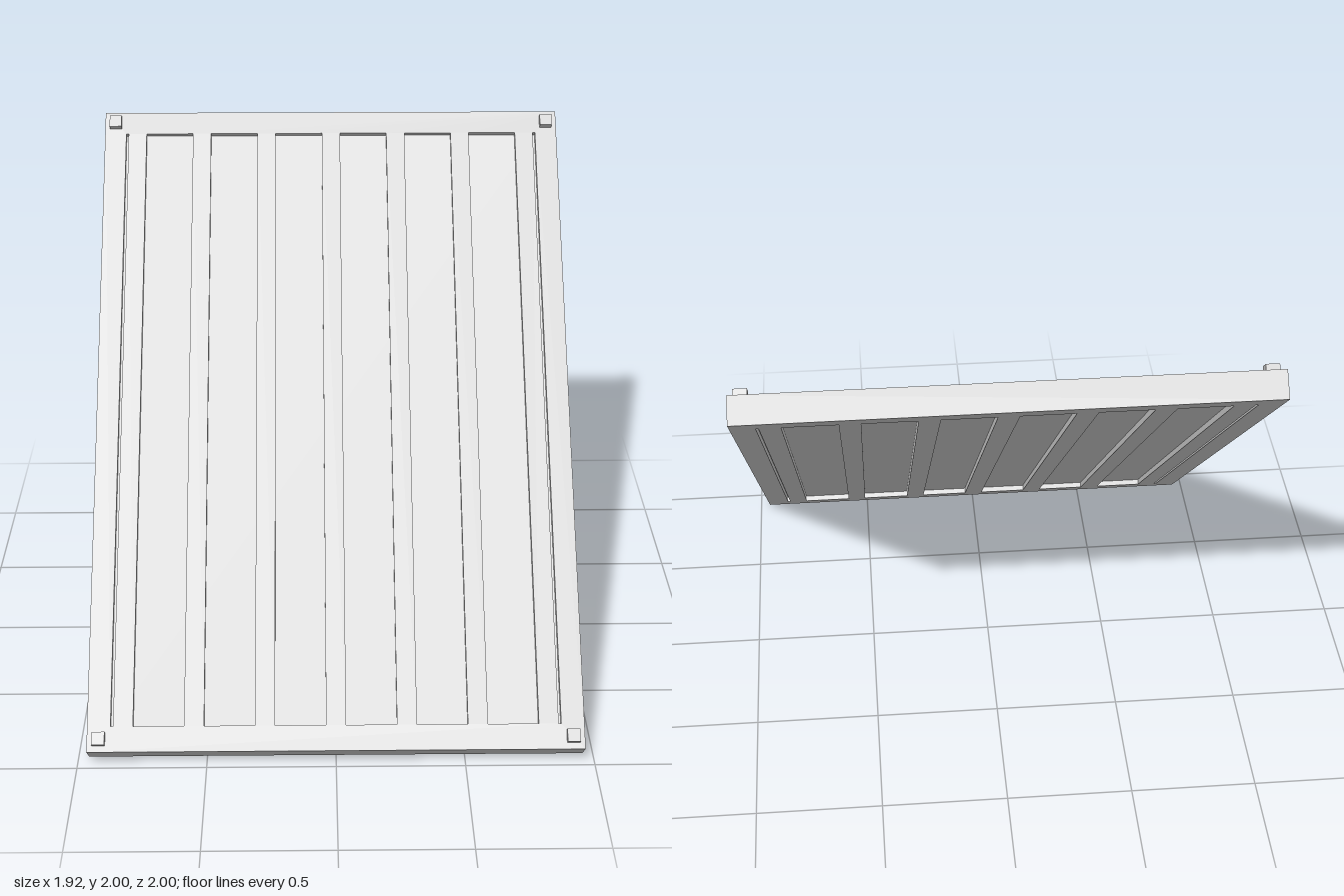
import * as THREE from 'three';

const WIDTH = 1.92, LENGTH = 2.722, THICK = 0.106;
const RECESS = 0.022;                 // depth of the channels on either side
const HALF_OPEN = 1.262;              // half length of the channels

function rectPath(PathType, x0, x1, y0, y1) {
  const p = new PathType();
  p.moveTo(x0, y0);
  p.lineTo(x1, y0);
  p.lineTo(x1, y1);
  p.lineTo(x0, y1);
  p.closePath();
  return p;
}

export function createModel() {
  const grey = new THREE.MeshStandardMaterial({ color: 0xcccccc });
  grey.name = 'light grey';
  const model = new THREE.Group();
  model.name = 'ribbedPanel';

  const add = (name, geometry, x = 0, y = 0, z = 0) => {
    const mesh = new THREE.Mesh(geometry, grey);
    mesh.name = name;
    mesh.position.set(x, y, z);
    model.add(mesh);
  };

  // Frame and ribs: one slab pierced by the long channels
  const outline = rectPath(THREE.Shape, -WIDTH / 2, WIDTH / 2, -LENGTH / 2, LENGTH / 2);
  const channel = (x, w) =>
    outline.holes.push(rectPath(THREE.Path, x - w / 2, x + w / 2, -HALF_OPEN, HALF_OPEN));
  for (let i = 0; i < 6; i++) channel((i - 2.5) * 0.274, 0.197);
  for (const side of [-1, 1]) channel(side * 0.865, 0.01);
  const slab = new THREE.ExtrudeGeometry(outline, { depth: THICK, bevelEnabled: false });
  slab.translate(0, 0, -THICK / 2);
  add('frameAndRibs', slab);

  // Core sheet that closes the channels midway through the slab
  add('coreSheet', new THREE.BoxGeometry(1.78, HALF_OPEN * 2 + 0.04, THICK - 2 * RECESS));

  // Small square pads at the four corners of the front face
  for (const sx of [-1, 1])
    for (const sy of [-1, 1])
      add('cornerPad', new THREE.BoxGeometry(0.05, 0.05, 0.035), sx * 0.915, sy * 1.311, 0.0605);

  // Lean the panel back by 45 degrees
  model.rotation.x = -Math.PI / 4;
  model.position.y = 1;
  const root = new THREE.Group();
  root.add(model);
  return root;
}
